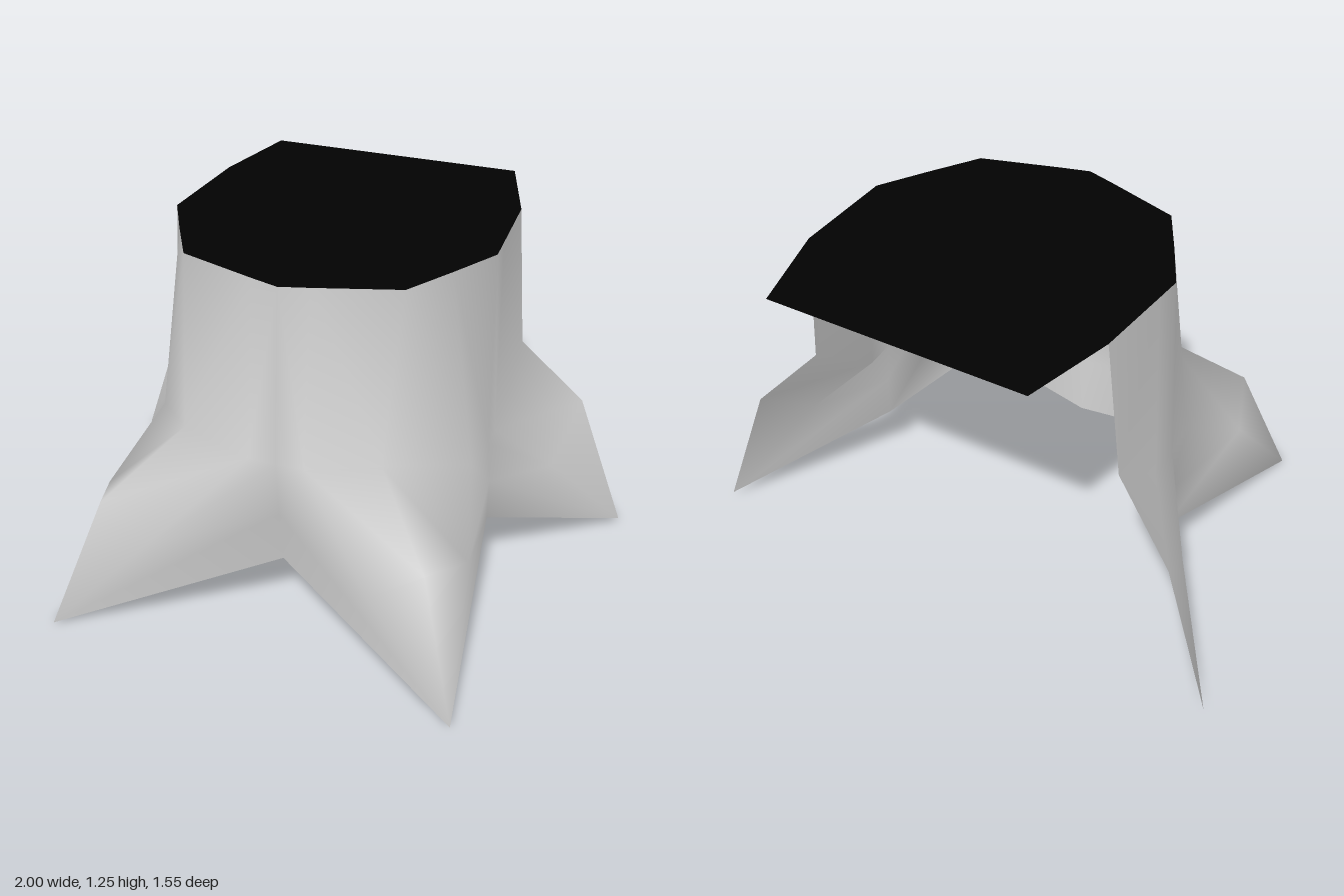
import * as THREE from 'three';
import { mergeVertices } from 'three/addons/utils/BufferGeometryUtils.js';

export function createModel() {
  const model = new THREE.Group();
  const bark = new THREE.MeshStandardMaterial({ color: 0xcccccc, side: THREE.DoubleSide });
  bark.name = 'pale grey';
  const black = new THREE.MeshStandardMaterial({ color: 0x020202, side: THREE.DoubleSide });
  black.name = 'black';

  // Root tips, where the ridge and flanks of each root meet
  const backTip = [1, 0.015, -0.525], frontTip = [0.715, 0, 0.775];

  // Columns of the left half, each from rim to shoulder, knee and hem
  const half = [
    [[0.55, 1.255, -0.44], [0.595, 0.76, -0.42], [0.82, 0.52, -0.49], backTip],       // back root ridge
    [[0.565, 1.255, -0.15], [0.585, 0.55, -0.13], [0.77, 0.36, -0.27], backTip],      // back root flank
    [[0.57, 1.255, -0.05], [0.59, 0.56, -0.02], [0.6, 0.4, -0.03], [0.6, 0.245, -0.03]], // side hollow
    [[0.475, 1.255, 0.125], [0.572, 0.56, 0.13], [0.655, 0.38, 0.42], frontTip],      // front root outer flank
    [[0.375, 1.255, 0.3], [0.35, 0.67, 0.41], [0.57, 0.45, 0.63], frontTip],          // front root ridge
    [[0.1, 1.255, 0.39], [0.1, 0.63, 0.46], [0.39, 0.34, 0.66], frontTip],            // front root inner flank
  ];
  const middle = [[0, 1.255, 0.42], [0, 0.63, 0.46], [0, 0.42, 0.44], [0, 0.215, 0.41]];
  const mirrored = half.map(col => col.map(([x, y, z]) => [-x, y, z])).reverse();
  const columns = [...half, middle, ...mirrored];

  // Open-backed stump shell with four flared roots
  const rows = middle.length;
  const index = [];
  for (let i = 0; i < columns.length - 1; i++) {
    for (let j = 0; j < rows - 1; j++) {
      const a = i * rows + j, b = a + 1, c = a + rows, d = c + 1;
      if (i < half.length) index.push(a, c, b, b, c, d);
      else index.push(a, c, d, a, d, b);
    }
  }
  let shell = new THREE.BufferGeometry();
  shell.setAttribute('position', new THREE.Float32BufferAttribute(columns.flat(2), 3));
  shell.setIndex(index);
  shell = mergeVertices(shell);
  shell.computeVertexNormals();
  const stump = new THREE.Mesh(shell, bark);
  stump.name = 'stumpShell';
  model.add(stump);

  // Flat top, running out past the open back
  const outline = [...columns.map(col => [col[0][0], col[0][2]]), [-0.48, -0.77], [0.44, -0.78]];
  const capShape = new THREE.Shape(outline.map(([x, z]) => new THREE.Vector2(x, -z)));
  const cap = new THREE.Mesh(new THREE.ShapeGeometry(capShape), black);
  cap.name = 'flatTop';
  cap.rotation.x = -Math.PI / 2;
  cap.position.y = 1.255;
  model.add(cap);

  return model;
}
